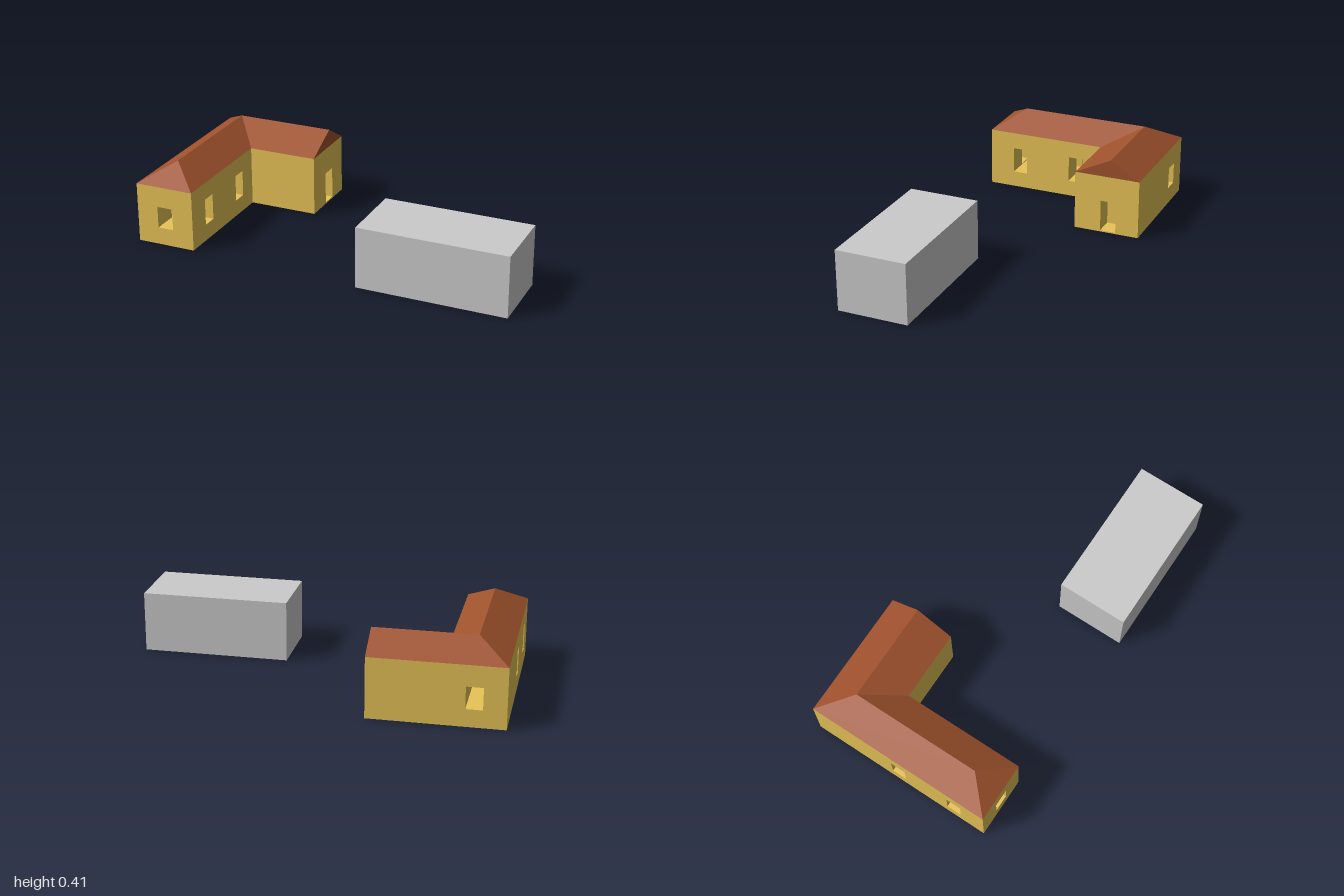
import * as THREE from 'three';

const EAVE = 0.32, RIDGE = 0.415;

// Boxes as [x0, x1, y0, y1, z0, z1]
const WINGS = [
  [-1, -0.685, 0.003, EAVE, -0.52, 0.485],      // long wing
  [-1, -0.315, 0.003, EAVE, -0.52, -0.165],     // short wing
];
const OPENINGS = [
  [-0.885, -0.8, 0.095, 0.21, -0.52, 0.485],    // front and back windows
  [-1, -0.685, 0.09, 0.23, -0.06, 0.02],        // middle side windows
  [-1, -0.685, 0.09, 0.23, 0.27, 0.35],         // forward side windows
  [-0.42, -0.315, 0.01, 0.18, -0.395, -0.31],   // doorway in the short wing
];

// Flat-shaded geometry from a list of polygons with counter-clockwise corners
function fromPolygons(polygons) {
  const pos = [];
  for (const p of polygons)
    for (let i = 1; i < p.length - 1; i++) pos.push(...p[0], ...p[i], ...p[i + 1]);
  const geo = new THREE.BufferGeometry();
  geo.setAttribute('position', new THREE.Float32BufferAttribute(pos, 3));
  geo.computeVertexNormals();
  return geo;
}

// Union of boxes minus other boxes: split space at every box side, keep the outer cell faces
function carve(solids, holes) {
  const all = [...solids, ...holes];
  const cuts = [0, 1, 2].map((a) =>
    [...new Set(all.flatMap((b) => [b[2 * a], b[2 * a + 1]]))].sort((p, q) => p - q));
  const filled = (cell) => {
    if (cell.some((n, a) => n < 0 || n >= cuts[a].length - 1)) return false;
    const mid = cell.map((n, a) => (cuts[a][n] + cuts[a][n + 1]) / 2);
    const within = (b) => mid.every((m, a) => m > b[2 * a] && m < b[2 * a + 1]);
    return solids.some(within) && !holes.some(within);
  };
  const faces = [];
  for (let i = 0; i < cuts[0].length - 1; i++)
    for (let j = 0; j < cuts[1].length - 1; j++)
      for (let k = 0; k < cuts[2].length - 1; k++) {
        const cell = [i, j, k];
        if (!filled(cell)) continue;
        for (let a = 0; a < 3; a++)
          for (const side of [0, 1]) {
            const next = cell.slice();
            next[a] += side ? 1 : -1;
            if (filled(next)) continue;
            const u = (a + 1) % 3, v = (a + 2) % 3;
            const quad = [[0, 0], [1, 0], [1, 1], [0, 1]].map(([s, t]) => {
              const p = [];
              p[a] = cuts[a][cell[a] + side];
              p[u] = cuts[u][cell[u] + s];
              p[v] = cuts[v][cell[v] + t];
              return p;
            });
            faces.push(side ? quad : quad.reverse());
          }
      }
  return fromPolygons(faces);
}

// L-shaped roof: hipped at the front, gabled at the end of the short wing
function roofGeometry() {
  const a = [-1, EAVE, 0.485], b = [-0.685, EAVE, 0.485], c = [-0.685, EAVE, -0.165];
  const d = [-0.315, EAVE, -0.165], e = [-0.315, EAVE, -0.52], f = [-1, EAVE, -0.52];
  const p = [-0.84, RIDGE, 0.335], q = [-0.84, RIDGE, -0.36], r = [-0.315, RIDGE, -0.36];
  return fromPolygons([
    [a, b, p],      // front hip
    [b, c, q, p],   // courtyard slope of the long wing
    [c, d, r, q],   // courtyard slope of the short wing
    [d, e, r],      // gable
    [e, f, q, r],   // back slope
    [f, a, p, q],   // outer slope of the long wing
  ]);
}

export function createModel() {
  const model = new THREE.Group();
  const add = (parent, name, geometry, color) => {
    const mesh = new THREE.Mesh(geometry, new THREE.MeshStandardMaterial({ color, flatShading: true }));
    mesh.name = name;
    parent.add(mesh);
    return mesh;
  };

  // L-shaped house
  const house = new THREE.Group();
  house.name = 'house';
  add(house, 'walls', carve(WINGS, OPENINGS), 0xe8c357);
  add(house, 'roof', roofGeometry(), 0xa0522d);
  model.add(house);

  // Plain block standing apart from the house
  add(model, 'outbuilding', new THREE.BoxGeometry(0.775, 0.32, 0.372), 0xcccccc)
    .position.set(0.6125, 0.16, 0.331);

  return model;
}
